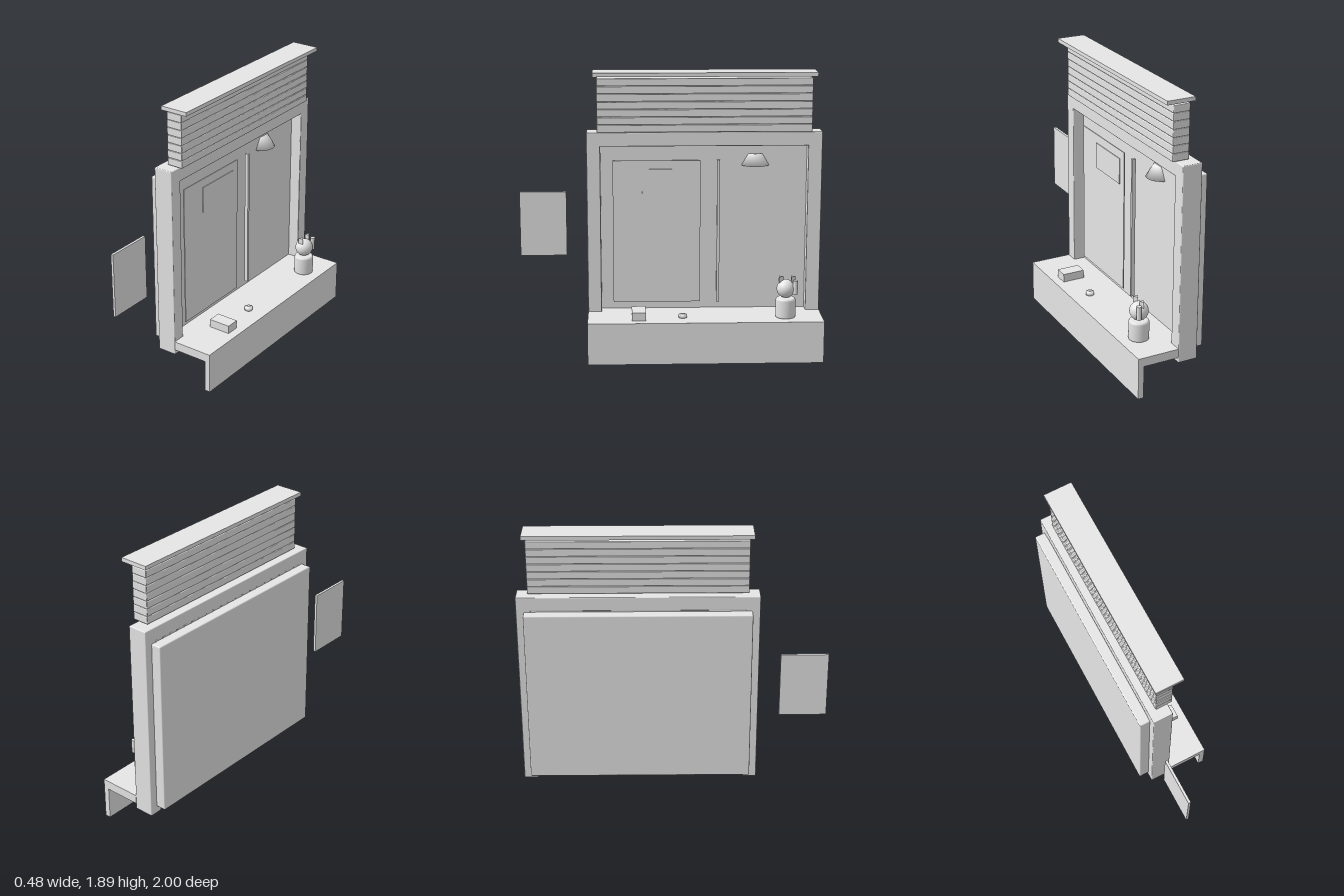
import * as THREE from 'three';
import { RoundedBoxGeometry } from 'three/addons/geometries/RoundedBoxGeometry.js';

export function createModel() {
  const root = new THREE.Group();
  root.name = 'shopWindow';
  const grey = new THREE.MeshStandardMaterial({ color: 0xe6e6e6 });
  grey.name = 'paleGrey';

  const add = (name, geometry, x, y, z, parent = root) => {
    const mesh = new THREE.Mesh(geometry, grey);
    mesh.name = name;
    mesh.position.set(x, y, z);
    parent.add(mesh);
    return mesh;
  };
  // Box from its limits on each axis, with an optional softened edge
  const box = (name, [x0, x1], [y0, y1], [z0, z1], r = 0, parent = root) => {
    const size = [x1 - x0, y1 - y0, z1 - z0];
    const geometry = r ? new RoundedBoxGeometry(...size, 2, r) : new THREE.BoxGeometry(...size);
    return add(name, geometry, (x0 + x1) / 2, (y0 + y1) / 2, (z0 + z1) / 2, parent);
  };
  // Turned part from [radius, height] pairs, bottom to top
  const lathe = (pairs) => new THREE.LatheGeometry(pairs.map(([r, y]) => new THREE.Vector2(r, y)), 32);

  // Back wall, the pane in the opening and the frame around it
  box('backWall', [-0.243, -0.17], [0.232, 1.395], [-0.95, 0.5], 0.008);
  box('pane', [-0.17, -0.12], [0.25, 1.402], [-0.915, 0.465]);
  const frame = new THREE.Group();
  frame.name = 'frame';
  root.add(frame);
  const frameX = [-0.175, -0.042];
  box('postNear', frameX, [0.182, 1.493], [0.46, 0.55], 0.006, frame);
  box('postFar', frameX, [0.182, 1.493], [-1, -0.907], 0.006, frame);
  box('header', frameX, [1.4, 1.493], [-0.995, 0.545], 0.006, frame);

  // Counter board, notched around the posts, with an apron below its edge
  const plan = new THREE.Shape([[-0.17, -0.46], [-0.042, -0.46], [-0.042, -0.55], [0.24, -0.55],
    [0.24, 1], [-0.042, 1], [-0.042, 0.907], [-0.17, 0.907]].map(([x, y]) => new THREE.Vector2(x, y)));
  const board = new THREE.ExtrudeGeometry(plan, { depth: 0.06, bevelEnabled: false });
  add('counter', board.rotateX(-Math.PI / 2), 0, 0.22, 0);
  box('apron', [0.202, 0.24], [0, 0.22], [-1, 0.55]);

  // Thin panels and rail standing in front of the pane
  box('doorPanel', [-0.086, -0.079], [0.335, 1.3], [-0.2, 0.38]);
  box('notice', [-0.083, -0.074], [1.067, 1.242], [-0.145, 0.185]);
  box('verticalRail', [-0.095, -0.07], [0.335, 1.3], [-0.328, -0.31]);

  // Softly shaded lamp, half sunk into the pane
  add('lampShade', lathe([[0, 0], [0.095, 0], [0.05, 0.078], [0, 0.078]]), -0.142, 1.259, -0.565);

  // Rolled shutter slats under a cap board
  for (let i = 0; i < 7; i++) {
    const y = 1.498 + i * 0.0505;
    box('slat' + (i + 1), [-0.125, -0.012], [y, y + 0.0485], [-0.927, 0.48], 0.005);
  }
  box('capBoard', [-0.145, 0.045], [1.866, 1.892], [-0.95, 0.505]);

  // Separate hanging board beside the window
  box('sideBoard', [-0.165, -0.148], [0.645, 1.08], [0.69, 1]);

  // Small box and dish on the counter
  box('counterBox', [0.03, 0.182], [0.28, 0.336], [0.168, 0.26]);
  add('dish', lathe([[0, 0], [0.027, 0], [0.027, 0.021], [0, 0.021]]), 0.106, 0.28, -0.077);

  // Cat figurine: rounded body, head, ears and raised paw
  const cat = new THREE.Group();
  cat.name = 'catFigurine';
  cat.position.set(0.107, 0.278, -0.757);
  root.add(cat);
  add('body', lathe([[0, 0], [0.059, 0], [0.064, 0.003], [0.066, 0.01], [0.066, 0.118],
    [0.062, 0.128], [0.054, 0.133], [0, 0.133]]), 0, 0, 0, cat);
  add('head', new THREE.SphereGeometry(0.061, 32, 20), 0, 0.194, 0, cat);
  for (const z of [-0.044, 0.036]) {
    const ear = add('ear', new THREE.CylinderGeometry(0.02, 0.02, 0.04, 3).toNonIndexed(), 0, 0.257, z, cat);
    ear.geometry.computeVertexNormals();
    ear.rotation.y = Math.PI;
  }
  add('raisedPaw', new THREE.CylinderGeometry(0.016, 0.016, 0.09, 20), 0.032, 0.21, -0.059, cat);
  return root;
}
